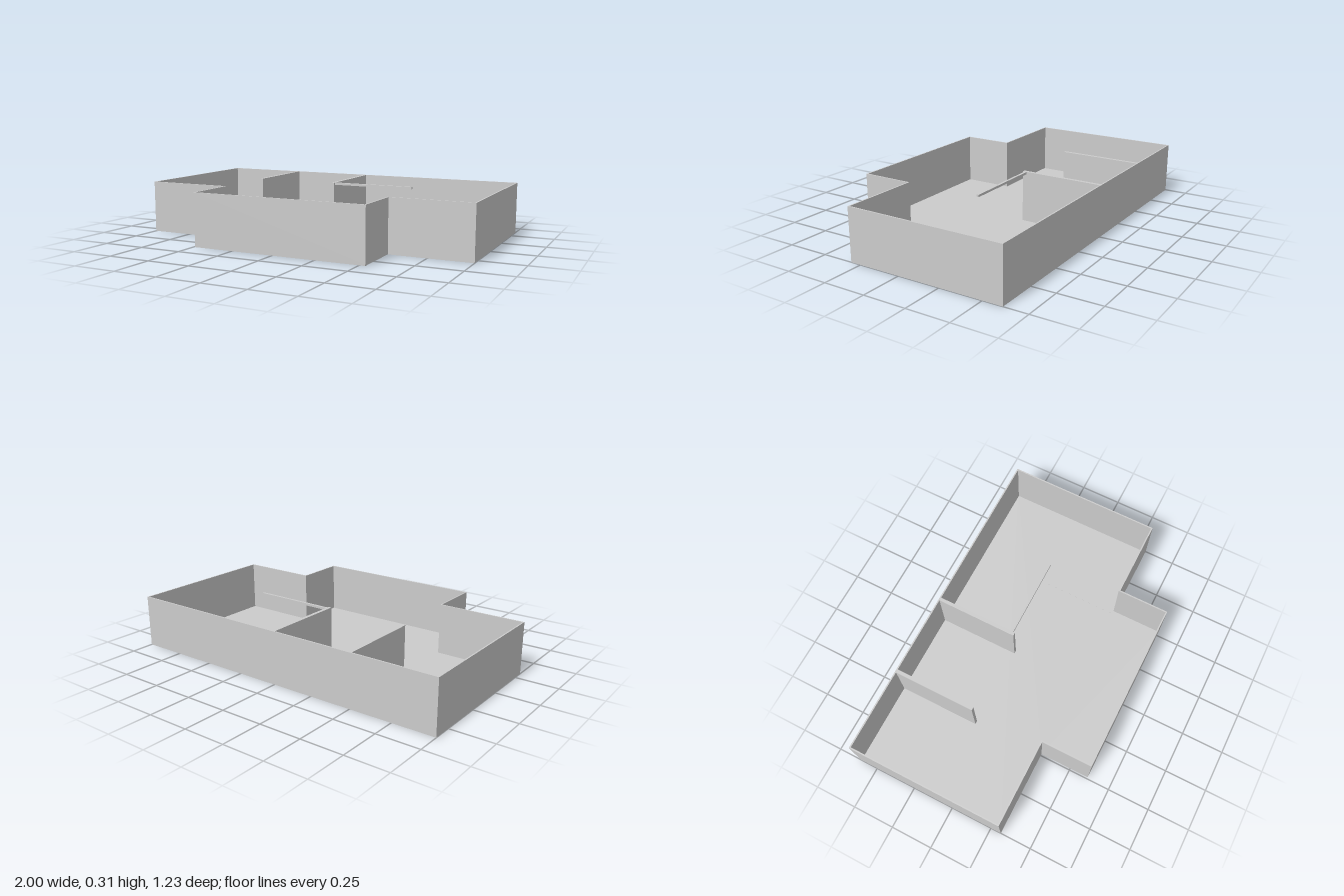
import * as THREE from 'three';

const HEIGHT = 0.306;
const FLOOR = 0.006;

// Outline of the house plan as [x, z], drawn in by t on every side
const outline = (t) => [
  [-1 + t, -0.613 + t], [1 - t, -0.613 + t], [1 - t, 0.313 - t], [0.533 - t, 0.313 - t],
  [0.533 - t, 0.613 - t], [-0.49 + t, 0.613 - t], [-0.49 + t, 0.313 - t], [-1 + t, 0.313 - t],
].map(([x, z]) => new THREE.Vector2(x, -z));

export function createModel() {
  const model = new THREE.Group();
  const material = new THREE.MeshStandardMaterial({ color: 0xcccccc, flatShading: true });

  const add = (name, geometry) => {
    const mesh = new THREE.Mesh(geometry, material);
    mesh.name = name;
    model.add(mesh);
  };

  // Raises a plan shape from y0 to y1
  const raise = (shape, y0, y1) =>
    new THREE.ExtrudeGeometry(shape, { depth: y1 - y0, bevelEnabled: false })
      .rotateX(-Math.PI / 2)
      .translate(0, y0, 0);

  // Box given by its limits
  const block = (name, x0, x1, y0, y1, z0, z1) =>
    add(name, new THREE.BoxGeometry(x1 - x0, y1 - y0, z1 - z0)
      .translate((x0 + x1) / 2, (y0 + y1) / 2, (z0 + z1) / 2));

  // Floor slab and the thin outer walls around it; the hole runs the other way round
  add('floor', raise(new THREE.Shape(outline(0)), 0, FLOOR));
  const ring = new THREE.Shape(outline(0));
  ring.holes.push(new THREE.Path(outline(0.008).reverse()));
  add('outerWalls', raise(ring, FLOOR, HEIGHT));

  // Two partitions standing out from the back wall
  block('leftPartition', -0.508, -0.488, FLOOR, HEIGHT, -0.605, -0.117);
  block('middlePartition', -0.008, 0.012, FLOOR, HEIGHT, -0.605, -0.117);

  // Slim beam at wall height, reaching out from the middle partition
  block('beam', 0.012, 0.5, HEIGHT - 0.013, HEIGHT, -0.142, -0.128);

  // Threshold strip set almost flush into the floor
  block('threshold', 0.505, 0.525, 0.001, FLOOR + 0.001, -0.14, 0.305);

  return model;
}
